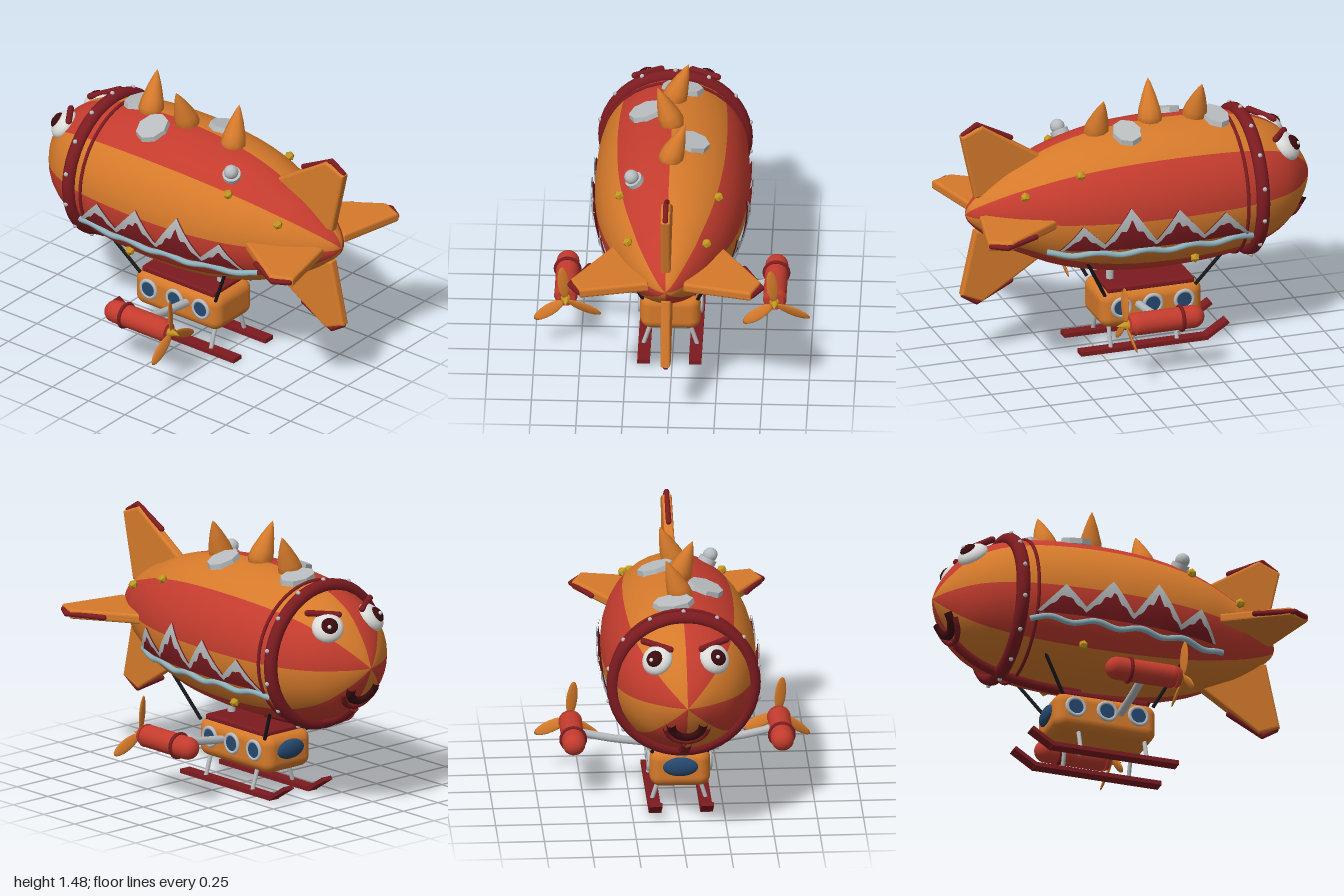
import * as THREE from 'three';
import { RoundedBoxGeometry } from 'three/addons/geometries/RoundedBoxGeometry.js';

const mat = (name, color, side = THREE.FrontSide) => {
  const m = new THREE.MeshStandardMaterial({ color, side });
  m.name = name;
  return m;
};
const V = (x, y, z) => new THREE.Vector3(x, y, z);
const UP = V(0, 1, 0), AXIS_Y = 0.85;

// Hull profile: radius, position along z
const profile = new THREE.SplineCurve([
  [0, -1], [0.08, -0.97], [0.155, -0.926], [0.25, -0.85], [0.32, -0.75], [0.375, -0.6], [0.408, -0.4], [0.42, -0.1],
  [0.4, 0.2], [0.34, 0.467], [0.255, 0.66], [0.21, 0.75], [0.125, 0.87], [0.05, 0.95], [0, 0.97],
].map(p => new THREE.Vector2(...p))).getPoints(44).map(p => new THREE.Vector2(Math.max(p.x, 0), p.y));

const lerpAt = (pts, z) => {
  for (let i = 1; i < pts.length; i++) {
    const [a, b] = [pts[i - 1], pts[i]];
    if (z <= b.y) return a.x + (b.x - a.x) * Math.max(0, (z - a.y) / (b.y - a.y));
  }
  return pts[pts.length - 1].x;
};
const hullR = z => lerpAt(profile, z);
const hullPoint = (z, a, off = 0) => {
  const r = hullR(z) + off;
  return V(Math.cos(a) * r, AXIS_Y + Math.sin(a) * r, z);
};
const hullNormal = (z, a) => V(Math.cos(a), Math.sin(a), -(hullR(z + 0.02) - hullR(z - 0.02)) / 0.04).normalize();
const sidePoint = (side, z, y, off) =>
  V(side * (Math.sqrt(Math.max(hullR(z) ** 2 - (y - AXIS_Y) ** 2, 0)) + off), y, z);

export function createModel() {
  const orange = mat('orange', 0xd67a2b), red = mat('red', 0xc43c2e);
  const darkRed = mat('darkRed', 0x7c1b20, THREE.DoubleSide), silver = mat('silver', 0xb9bdbf, THREE.DoubleSide);
  const white = mat('white', 0xdcdcda), gold = mat('gold', 0xc4971f), black = mat('black', 0x1b1b1d);
  const dark = mat('darkMaroon', 0x3a0b0e), glass = mat('glassBlue', 0x25486f), water = mat('paleBlue', 0x8fb2bd);

  const model = new THREE.Group();
  model.name = 'airship';
  const body = new THREE.Group();
  body.name = 'body';
  body.position.x = -0.015;
  model.add(body);

  const add = (name, geo, m, pos = V(0, 0, 0), parent = body) => {
    const mesh = new THREE.Mesh(geo, m);
    mesh.name = name;
    mesh.position.copy(pos);
    parent.add(mesh);
    return mesh;
  };
  const tube = (name, pts, r, m, parent = body, n = pts.length * 6) =>
    add(name, new THREE.TubeGeometry(new THREE.CatmullRomCurve3(pts), n, r, 8), m, undefined, parent);
  const rod = (name, a, b, r, m, parent = body) => {
    const mesh = add(name, new THREE.CylinderGeometry(r, r, a.distanceTo(b), 10), m, a.clone().lerp(b, 0.5), parent);
    mesh.quaternion.setFromUnitVectors(UP, b.clone().sub(a).normalize());
    return mesh;
  };
  const capsuleRod = (name, a, b, r, m, parent = body) => {
    const mesh = add(name, new THREE.CapsuleGeometry(r, a.distanceTo(b), 4, 10), m, a.clone().lerp(b, 0.5), parent);
    mesh.quaternion.setFromUnitVectors(UP, b.clone().sub(a).normalize());
    return mesh;
  };

  // Hull in eight alternating gores
  for (let i = 0; i < 8; i++) {
    const gore = new THREE.LatheGeometry(profile, 4, i * Math.PI / 4, Math.PI / 4).rotateX(Math.PI / 2);
    add('hullGore', gore, i % 2 ? orange : red, V(0, AXIS_Y, 0));
  }
  // Collar rings with rivets, and the keel under the nose
  add('collar', new THREE.TorusGeometry(0.382, 0.038, 12, 48), darkRed, V(0, AXIS_Y, -0.61));
  add('thinCollar', new THREE.TorusGeometry(0.394, 0.01, 8, 48), darkRed, V(0, AXIS_Y, -0.523));
  for (let i = 0; i < 14; i++) {
    const a = Math.PI / 2 + i * Math.PI / 7;
    add('rivet', new THREE.SphereGeometry(0.013, 8, 6), silver,
      V(Math.cos(a) * 0.418, AXIS_Y + Math.sin(a) * 0.418, -0.61));
  }
  tube('keel', [-0.15, -0.3, -0.45, -0.6, -0.75, -0.86].map(z => hullPoint(z, -Math.PI / 2, 0.008)), 0.03, darkRed);

  // Mouth
  const arc = (zOff, off) => Array.from({ length: 9 }, (_, i) => {
    const t = i / 4 - 1;
    return hullPoint(-0.888 + zOff - 0.04 * t * t, -Math.PI / 2 + t * 0.68, off);
  });
  tube('mouth', arc(-0.01, 0.002), 0.026, dark);
  tube('lip', arc(0.018, 0.008), 0.016, darkRed);

  // Tail fins with trim along the outer corner
  const finShape = new THREE.Shape(
    [[0.11, 0.91], [0.11, 0.6], [0.28, 0.54], [0.5, 0.88], [0.455, 0.985]].map(p => new THREE.Vector2(...p)));
  const finGeo = new THREE.ExtrudeGeometry(finShape,
    { depth: 0.026, bevelSize: 0.014, bevelThickness: 0.014, bevelSegments: 3 }).translate(0, 0, -0.013).rotateX(Math.PI / 2);
  for (let i = 0; i < 4; i++) {
    const fin = new THREE.Group();
    fin.name = 'tailFin';
    fin.position.y = AXIS_Y;
    fin.rotation.z = i * Math.PI / 2;
    body.add(fin);
    add('finPanel', finGeo, orange, undefined, fin);
    const corner = V(0.52, 0, 0.905);
    capsuleRod('finTrim', V(0.42, 0, 0.71), corner, 0.015, darkRed, fin);
    capsuleRod('finTrim', corner, V(0.47, 0, 0.983), 0.015, darkRed, fin);
  }

  // Curved spikes along the back
  const spikeGeo = new THREE.LatheGeometry([[0, -0.06], [0.055, -0.04], [0.07, 0.01], [0.062, 0.06], [0.038, 0.14], [0.015, 0.2], [0, 0.23]]
    .map(p => new THREE.Vector2(...p)), 10);
  [[0.22, -1, 1.23], [-0.09, 1, 1.265], [-0.345, -1, 1.255]].forEach(([z, lean, y]) => {
    const s = add('backSpike', spikeGeo, orange, V(0, y, z));
    s.rotation.set(-0.08, 0, lean * 0.36);
  });

  // Pale hull patches
  const patchGeo = new THREE.CylinderGeometry(1, 1.05, 0.03, 8).toNonIndexed();
  patchGeo.computeVertexNormals();
  [[0.045, -0.45, 0.11, 0.072], [-0.14, -0.22, 0.098, 0.085], [0.11, 0.08, 0.098, 0.078]].forEach(([x, z, sx, sz]) => {
    const a = Math.acos(x / hullR(z));
    const p = add('hullPatch', patchGeo, silver, hullPoint(z, a, 0.008));
    p.scale.set(sx, 1, sz);
    p.quaternion.setFromUnitVectors(UP, hullNormal(z, a));
  });

  // Valve dome
  const valve = new THREE.Group();
  valve.name = 'valve';
  valve.position.copy(hullPoint(0.36, 2.09));
  valve.quaternion.setFromUnitVectors(UP, hullNormal(0.36, 2.09));
  body.add(valve);
  add('valveBase', new THREE.CylinderGeometry(0.05, 0.05, 0.03, 16), silver, V(0, 0.01, 0), valve);
  add('valveDome', new THREE.SphereGeometry(0.04, 14, 10), silver, V(0, 0.045, 0), valve);

  // Mountain ridge, as (height, z)
  const ridge = [[0.692, -0.53], [0.85, -0.38], [0.735, -0.26], [0.905, -0.11], [0.735, 0.015], [0.94, 0.16],
    [0.735, 0.3], [0.85, 0.42], [0.692, 0.53]].map(p => new THREE.Vector2(...p));
  const ridgeY = z => lerpAt(ridge, z);
  const snowY = z => {
    const zig = Math.abs(((z * 16 + 100) % 1) * 2 - 1);
    return Math.max(0.69, ridgeY(z) - 0.03 - 0.4 * Math.max(0, ridgeY(z) - 0.74) * (0.35 + 0.65 * zig));
  };
  const strip = (side, lo, hi, off) => {
    const g = new THREE.PlaneGeometry(1, 1, 106, 5), p = g.attributes.position;
    for (let i = 0; i < p.count; i++) {
      const z = p.getX(i) * 1.06, y = lo(z) + (hi(z) - lo(z)) * (p.getY(i) + 0.5);
      p.setXYZ(i, ...sidePoint(side, z, y, off).toArray());
    }
    if (side > 0) g.setIndex([...g.index.array].reverse());
    g.computeVertexNormals();
    return g;
  };

  const leafGeo = new THREE.SphereGeometry(1, 12, 8).scale(0.1, 0.033, 0.009).rotateX(0.35).translate(0.112, 0, 0);
  for (const s of [1, -1]) {
    // Eye, pupil, glint and brow
    const a = Math.PI / 2 - s * 0.61, n = hullNormal(-0.82, a), eye = new THREE.Group();
    eye.name = 'eye';
    eye.position.copy(hullPoint(-0.82, a, -0.005));
    eye.quaternion.setFromUnitVectors(UP, n);
    body.add(eye);
    add('eyeball', new THREE.SphereGeometry(0.088, 20, 14), white, undefined, eye).scale.y = 0.62;
    add('pupil', new THREE.SphereGeometry(0.048, 16, 10), dark, V(0, 0.04, -0.01), eye).scale.y = 0.6;
    add('glint', new THREE.SphereGeometry(0.012, 8, 6), white, V(0.012, 0.066, -0.022), eye);
    capsuleRod('brow', V(s * 0.225, 1.15, -0.735), V(s * 0.085, 1.135, -0.83), 0.018, darkRed);

    // Gold studs
    [[0.27, 1.108, 0.4], [0.215, 1.0, 0.7], [0.315, 0.557, -0.24]].forEach(([x, y, z]) =>
      add('stud', new THREE.IcosahedronGeometry(0.028, 0), gold, V(s * x, y, z)));

    // Painted mountains, snow and river
    add('mountains', strip(s, () => 0.69, ridgeY, 0.014), darkRed);
    add('snow', strip(s, snowY, ridgeY, 0.022), silver);
    tube('river', Array.from({ length: 30 }, (_, i) => {
      const z = 0.585 - i * 1.145 / 29;
      return sidePoint(s, z, 0.662 + 0.011 * Math.sin(z * 24), 0.012);
    }), 0.017, water, body, 120);

    // Suspension cables
    rod('cable', V(s * 0.235, 0.575, 0.35), V(s * 0.15, 0.33, 0.22), 0.01, black);
    rod('cable', V(s * 0.235, 0.56, -0.45), V(s * 0.15, 0.33, -0.3), 0.01, black);

    // Portholes
    for (const z of [0.13, -0.05, -0.23]) {
      add('portholeRim', new THREE.TorusGeometry(0.05, 0.011, 8, 24).rotateY(Math.PI / 2), silver, V(s * 0.166, 0.255, z));
      add('portholeGlass', new THREE.CylinderGeometry(0.048, 0.048, 0.014, 24).rotateZ(Math.PI / 2), glass, V(s * 0.165, 0.255, z));
    }

    // Skid with upturned toe and two legs
    add('skid', new THREE.BoxGeometry(0.068, 0.024, 0.73), darkRed, V(s * 0.14, 0.012, -0.002));
    const toe = add('skidToe', new THREE.BoxGeometry(0.068, 0.022, 0.15), darkRed, V(s * 0.14, 0.051, -0.42));
    toe.rotation.x = 0.57;
    for (const z of [0.185, -0.195]) rod('skidLeg', V(s * 0.105, 0.15, z), V(s * 0.147, 0.015, z), 0.012, silver);

    // Engine pod on a strut
    tube('strut', [V(s * 0.15, 0.258, 0.03), V(s * 0.36, 0.288, 0.03), V(s * 0.53, 0.325, 0.03)], 0.023, silver);
    const pod = new THREE.Group();
    pod.name = 'engine';
    pod.position.set(s * 0.567, 0.324, 0);
    body.add(pod);
    add('enginePod', new THREE.CapsuleGeometry(0.063, 0.31, 6, 18).rotateX(Math.PI / 2), red, V(0, 0, 0.015), pod);
    add('engineRing', new THREE.TorusGeometry(0.065, 0.011, 8, 24), darkRed, V(0, 0, -0.07), pod);
    add('engineTailRing', new THREE.CylinderGeometry(0.05, 0.065, 0.03, 18).rotateX(Math.PI / 2), red, V(0, 0, 0.21), pod);
    add('spinner', new THREE.ConeGeometry(0.028, 0.07, 10).rotateX(Math.PI / 2), gold, V(0, 0, 0.265), pod);
    for (let i = 0; i < 3; i++)
      add('propellerBlade', leafGeo, orange, V(0, 0, 0.245), pod).rotation.z = 1.675 + i * Math.PI * 2 / 3;
  }

  // Gondola with roof, windshield and vent pipe
  add('gondola', new RoundedBoxGeometry(0.33, 0.215, 0.585, 5, 0.06), orange, V(0, 0.238, -0.05));
  add('gondolaRoof', new RoundedBoxGeometry(0.28, 0.035, 0.5, 2, 0.012), darkRed, V(0, 0.348, -0.05));
  add('windshield', new THREE.SphereGeometry(1, 20, 12), glass, V(0, 0.255, -0.335)).scale.set(0.1, 0.055, 0.032);
  rod('ventPipe', V(0, 0.35, 0.14), V(0, 0.44, 0.14), 0.022, silver);

  return model;
}
